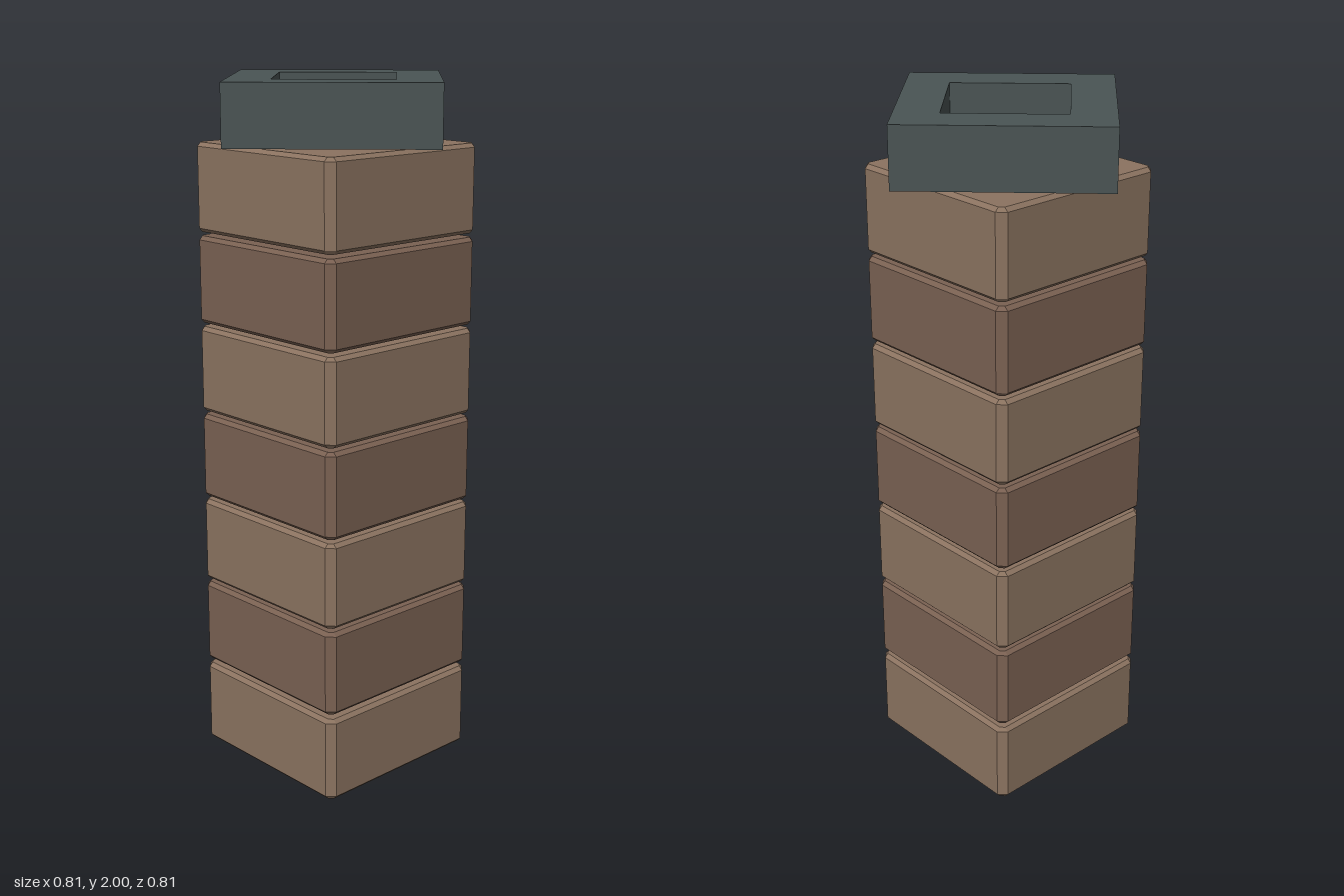
import * as THREE from 'three';
import { ConvexGeometry } from 'three/addons/geometries/ConvexGeometry.js';

const BLOCKS = 7, PITCH = 0.261, BLOCK_H = 0.25;
const HALF = 0.282, CORNER = 0.26, BEVEL = 0.011;

// Square block with chamfered corners and bevelled top and bottom rims
function blockGeometry() {
  const points = [];
  const ring = (y, half) => {
    for (const sx of [-1, 1]) for (const sz of [-1, 1]) {
      points.push(new THREE.Vector3(sx * half, y, sz * CORNER));
      points.push(new THREE.Vector3(sx * CORNER, y, sz * half));
    }
  };
  ring(0, HALF - BEVEL);
  ring(BEVEL, HALF);
  ring(BLOCK_H - BEVEL, HALF);
  ring(BLOCK_H, HALF - BEVEL);
  return new ConvexGeometry(points);
}

// Diamond outline with the given half diagonal
function diamond(PathType, r) {
  const path = new PathType();
  path.moveTo(r, 0);
  path.lineTo(0, r);
  path.lineTo(-r, 0);
  path.lineTo(0, -r);
  path.closePath();
  return path;
}

export function createModel() {
  const model = new THREE.Group();
  model.name = 'blockPillar';

  const material = (color) => new THREE.MeshStandardMaterial({ color, flatShading: true });
  const lightBrown = material(0x8b7360);
  const darkBrown = material(0x7a6152);
  const slate = material(0x4a5454);

  // Stack of blocks in alternating tones, with open joints between them
  const geometry = blockGeometry();
  for (let i = 0; i < BLOCKS; i++) {
    const block = new THREE.Mesh(geometry, i % 2 ? darkBrown : lightBrown);
    block.name = `block${i + 1}`;
    block.position.y = 0.004 + i * PITCH;
    model.add(block);
  }
  model.children[0].position.y = 0;

  // Square frame turned by 45 degrees, floating just above the top block
  const shape = diamond(THREE.Shape, 0.407);
  shape.holes.push(diamond(THREE.Path, 0.235));
  const frameGeometry = new THREE.ExtrudeGeometry(shape, { depth: 0.17, bevelEnabled: false });
  frameGeometry.rotateX(-Math.PI / 2);
  const frame = new THREE.Mesh(frameGeometry, slate);
  frame.name = 'topFrame';
  frame.position.y = 1.83;
  model.add(frame);

  return model;
}
